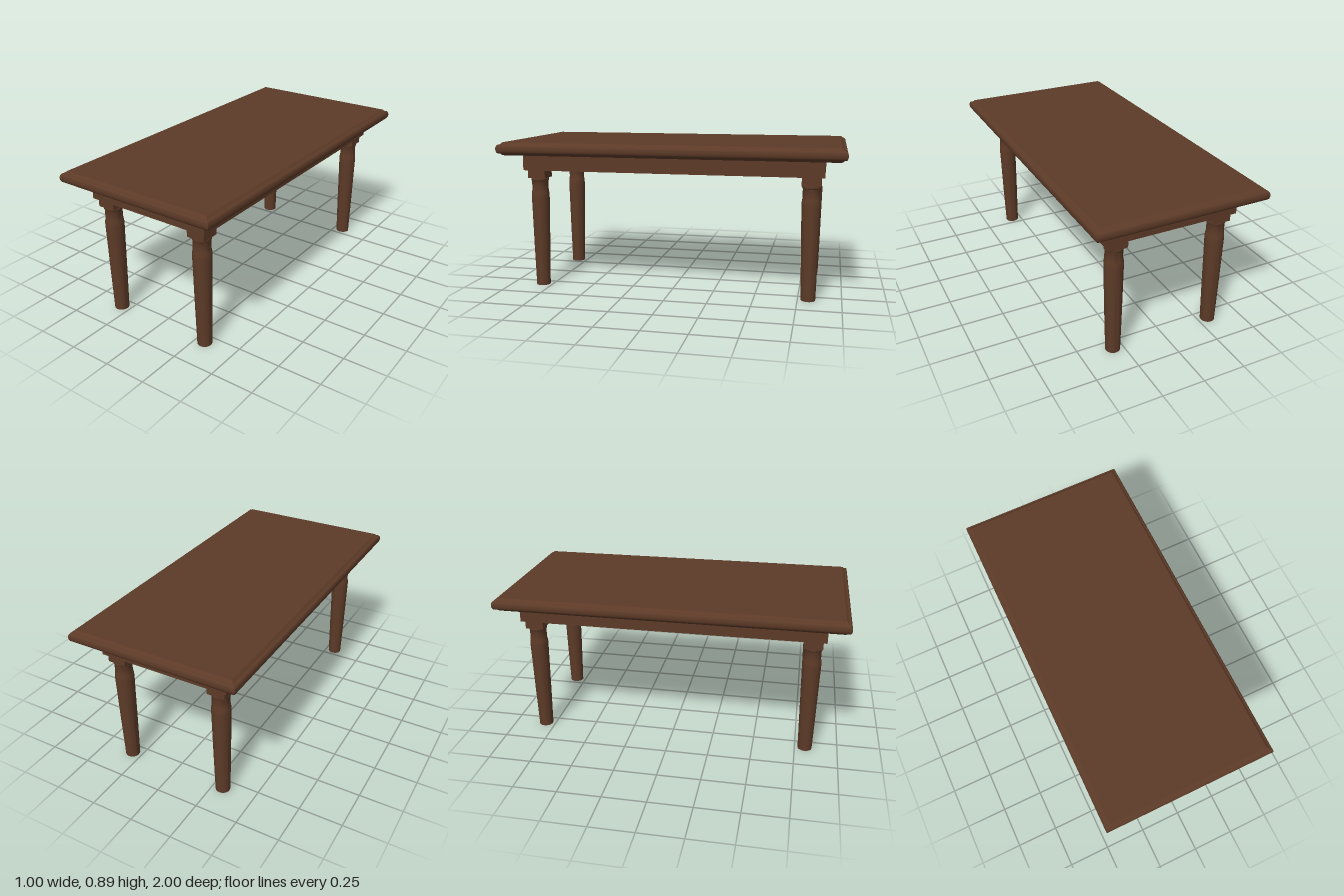
import * as THREE from 'three';
import { toCreasedNormals } from 'three/addons/utils/BufferGeometryUtils.js';

// Mitred rectangular solid: profile points are [inset from edge, y], bottom to top
function mouldedSlab(halfX, halfZ, profile) {
  const corners = [[1, 1], [1, -1], [-1, -1], [-1, 1]];
  const positions = [], index = [];
  for (const [inset, y] of profile) {
    for (const [sx, sz] of corners) positions.push(sx * (halfX - inset), y, sz * (halfZ - inset));
  }
  for (let r = 0; r < profile.length - 1; r++) {
    for (let i = 0; i < 4; i++) {
      const j = (i + 1) % 4;
      const a = r * 4 + i, b = r * 4 + j, c = b + 4, d = a + 4;
      index.push(a, b, c, a, c, d);
    }
  }
  const t = (profile.length - 1) * 4;
  index.push(t, t + 1, t + 2, t, t + 2, t + 3, 0, 2, 1, 0, 3, 2);
  const geometry = new THREE.BufferGeometry();
  geometry.setAttribute('position', new THREE.Float32BufferAttribute(positions, 3));
  geometry.setIndex(index);
  return toCreasedNormals(geometry, 0.6);
}

export function createModel() {
  const model = new THREE.Group();
  model.name = 'table';
  const wood = new THREE.MeshStandardMaterial({ color: 0x5c3a27 });
  wood.name = 'darkWood';

  const add = (parent, name, geometry, x = 0, y = 0, z = 0) => {
    const mesh = new THREE.Mesh(geometry, wood);
    mesh.name = name;
    mesh.position.set(x, y, z);
    parent.add(mesh);
  };

  // Tabletop: rounded nose between a lower and an upper bevelled step
  const nose = [];
  for (let i = 0; i <= 10; i++) {
    const a = -Math.PI / 2 + (Math.PI * i) / 10;
    nose.push([0.013 * (1 - Math.cos(a)), 0.8495 + 0.0255 * Math.sin(a)]);
  }
  const topProfile = [[0.032, 0.812], [0.018, 0.824], ...nose, [0.018, 0.875], [0.032, 0.888]];
  add(model, 'tabletop', mouldedSlab(0.5, 1, topProfile));

  // Apron under the top
  add(model, 'apron', new THREE.BoxGeometry(0.768, 0.098, 1.766), 0, 0.765, 0);

  // Turned leg profile: tapered shaft, swelling, neck and collar ring
  const legProfile = [
    [0, 0], [0.0415, 0], [0.0475, 0.25], [0.052, 0.49], [0.0532, 0.54], [0.0532, 0.565],
    [0.052, 0.575], [0.0495, 0.587], [0.0485, 0.6], [0.0485, 0.647], [0.0505, 0.649],
    [0.0525, 0.653], [0.053, 0.658], [0.0525, 0.663], [0.05, 0.668], [0, 0.668],
  ].map(([r, y]) => new THREE.Vector2(r, y));
  const legGeometry = toCreasedNormals(new THREE.LatheGeometry(legProfile, 32), 0.6);
  const blockGeometry = new THREE.BoxGeometry(0.107, 0.052, 0.107);

  for (const sx of [-1, 1]) {
    for (const sz of [-1, 1]) {
      const leg = new THREE.Group();
      leg.name = (sz > 0 ? 'front' : 'back') + (sx > 0 ? 'Left' : 'Right') + 'Leg';
      leg.position.set(sx * 0.31, 0, sz * 0.81);
      add(leg, 'turnedShaft', legGeometry);
      add(leg, 'legBlock', blockGeometry, 0, 0.692, 0);
      model.add(leg);
    }
  }
  return model;
}
